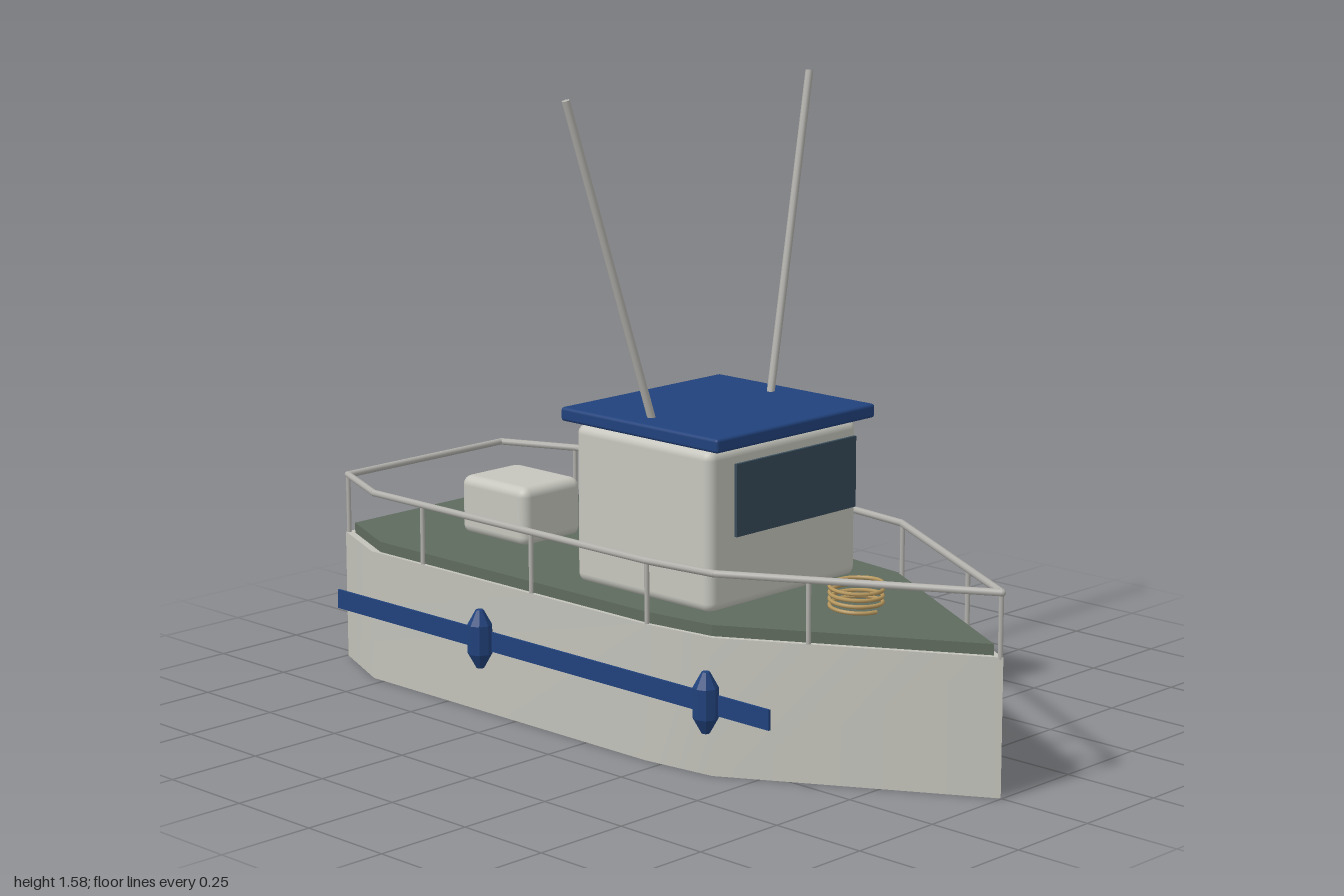
import * as THREE from 'three';
import { toCreasedNormals } from 'three/addons/utils/BufferGeometryUtils.js';
import { RoundedBoxGeometry } from 'three/addons/geometries/RoundedBoxGeometry.js';

const mat = (name, color, side = THREE.FrontSide) => {
  const m = new THREE.MeshStandardMaterial({ color, side });
  m.name = name;
  return m;
};

export function createModel() {
  const boat = new THREE.Group();
  boat.name = 'boat';
  const hullGrey = mat('hull grey', 0xc2c2ba, THREE.DoubleSide);
  const cabinGrey = mat('cabin grey', 0xc6c6be);
  const deckGreen = mat('deck green', 0x5f6b5e);
  const blue = mat('navy blue', 0x21427c);
  const glass = mat('dark glass', 0x374b59);
  const metal = mat('rail metal', 0xb2b1ac);
  const ropeTan = mat('rope tan', 0xb8985e);

  const add = (name, geometry, material, x = 0, y = 0, z = 0, parent = boat) => {
    const mesh = new THREE.Mesh(geometry, material);
    mesh.name = name;
    mesh.position.set(x, y, z);
    parent.add(mesh);
    return mesh;
  };

  // Straight round bar between two points
  const rod = (name, a, b, radius, parent = boat) => {
    const dir = b.clone().sub(a);
    const mesh = add(name, new THREE.CylinderGeometry(radius, radius, dir.length(), 8), metal, 0, 0, 0, parent);
    mesh.position.copy(a).add(b).multiplyScalar(0.5);
    mesh.quaternion.setFromUnitVectors(new THREE.Vector3(0, 1, 0), dir.normalize());
    return mesh;
  };

  // Plan outline [x, z]: one side from stern to bow, then mirrored back
  const side = [[-0.997, 0.28], [-0.79, 0.37], [0.2, 0.37], [0.4, 0.345]];
  const outline = [...side, [0.997, 0], ...side.map(([x, z]) => [x, -z]).reverse()];
  const scaled = (sx, sz) => outline.map(([x, z]) => new THREE.Vector2(x * sx, z * sz));

  // Hull: open-bottomed wall with a flat top
  const wall = [];
  outline.forEach(([x0, z0], i) => {
    const [x1, z1] = outline[(i + 1) % outline.length];
    const a = [x0, 0, z0], b = [x1, 0, z1], c = [x1, 0.34, z1], d = [x0, 0.34, z0];
    wall.push(...a, ...b, ...c, ...a, ...c, ...d);
  });
  const wallGeometry = new THREE.BufferGeometry();
  wallGeometry.setAttribute('position', new THREE.Float32BufferAttribute(wall, 3));
  add('hullSides', toCreasedNormals(wallGeometry, 0.6), hullGrey);
  const top = new THREE.ShapeGeometry(new THREE.Shape(scaled(1, 1)));
  top.rotateX(-Math.PI / 2);
  add('hullTop', top, hullGrey, 0, 0.339, 0);

  // Deck slab
  const deck = new THREE.ExtrudeGeometry(new THREE.Shape(scaled(0.972, 0.97)), { depth: 0.027, bevelEnabled: false });
  deck.rotateX(-Math.PI / 2);
  add('deck', deck, deckGreen, 0, 0.34, 0);

  // Cabin, roof, windscreen and deck locker
  add('cabin', new RoundedBoxGeometry(0.46, 0.4, 0.53, 3, 0.025), cabinGrey, 0.085, 0.56, 0);
  add('cabinRoof', new RoundedBoxGeometry(0.53, 0.035, 0.565, 2, 0.008), blue, 0.09, 0.782, 0);
  add('windscreen', new THREE.BoxGeometry(0.008, 0.178, 0.426), glass, 0.35, 0.64, 0);
  add('deckLocker', new RoundedBoxGeometry(0.245, 0.155, 0.205, 3, 0.025), cabinGrey, -0.588, 0.438, 0.03);

  // Railing
  const railing = new THREE.Group();
  railing.name = 'railing';
  boat.add(railing);
  const railY = 0.494;
  const rail = scaled(0.993, 0.98).map((p) => new THREE.Vector3(p.x, railY, p.y));
  rail.forEach((p, i) => {
    rod('handrail', p, rail[(i + 1) % rail.length], 0.009, railing);
    add('railJoint', new THREE.SphereGeometry(0.009, 8, 6), metal, p.x, p.y, p.z, railing);
  });
  const posts = [[-0.99, 0.274], [-0.6, 0.362], [-0.2, 0.362], [0.2, 0.362], [0.595, 0.225], [0.988, 0],
    [0.795, -0.113], [0.4, -0.338], [0, -0.362], [-0.42, -0.362], [-0.79, -0.362]];
  for (const [x, z] of posts) {
    rod('railPost', new THREE.Vector3(x, 0.335, z), new THREE.Vector3(x, railY, z), 0.006, railing);
  }

  // Two raked poles on the roof
  for (const s of [1, -1]) {
    rod('outriggerPole', new THREE.Vector3(0.07, 0.79, s * 0.21), new THREE.Vector3(0, 1.58, s * 0.425), 0.01);
  }

  // Coiled rope on the foredeck
  const turns = 4;
  const coil = [];
  for (let i = 0; i <= turns * 16; i++) {
    const a = (i / 16) * Math.PI * 2;
    coil.push(new THREE.Vector3(Math.cos(a) * 0.064, (0.062 * i) / (turns * 16), Math.sin(a) * 0.064));
  }
  add('ropeCoil', new THREE.TubeGeometry(new THREE.CatmullRomCurve3(coil), 160, 0.005, 6), ropeTan, 0.545, 0.374, 0);

  // Side stripe and hanging fenders
  add('sideStripe', new THREE.BoxGeometry(1.53, 0.05, 0.006), blue, -0.155, 0.19, 0.374);
  const profile = [[0, -0.077], [0.01, -0.075], [0.031, -0.037], [0.031, 0.037], [0.01, 0.075], [0, 0.077]]
    .map(([r, y]) => new THREE.Vector2(r, y));
  for (const x of [-0.355, 0.425]) {
    const fender = toCreasedNormals(new THREE.LatheGeometry(profile, 8), 0.3);
    add('fender', fender, blue, x, 0.198, 0.394);
  }

  return boat;
}
